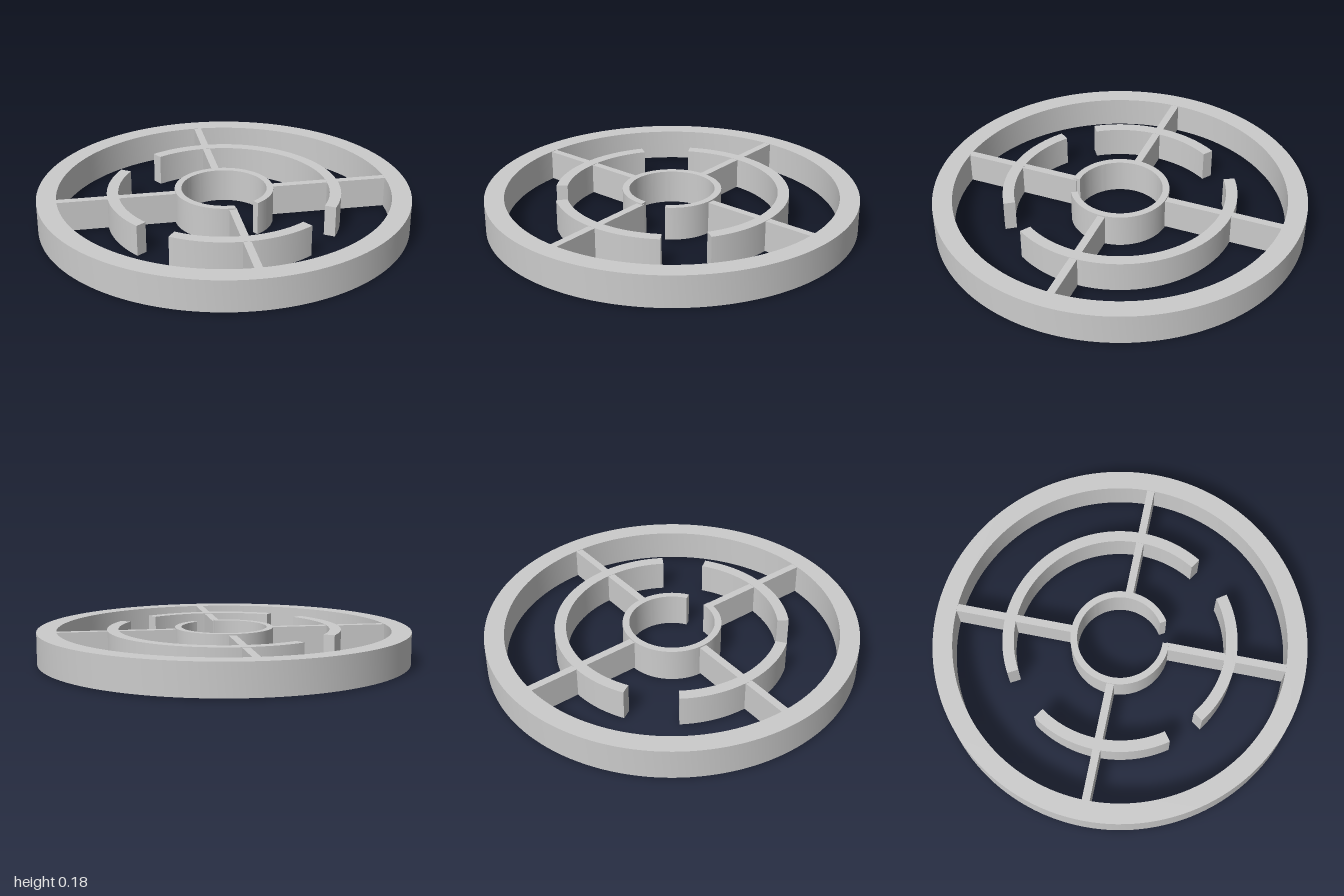
import * as THREE from 'three';
import { toCreasedNormals } from 'three/addons/utils/BufferGeometryUtils.js';

const material = new THREE.MeshStandardMaterial({ color: 0xcccccc });
const rad = THREE.MathUtils.degToRad;

// Flat outline extruded upward from y0 to y1
function slab(name, shape, y0, y1) {
  const flat = new THREE.ExtrudeGeometry(shape, { depth: y1 - y0, bevelEnabled: false, curveSegments: 72 });
  flat.rotateX(-Math.PI / 2);
  flat.translate(0, y0, 0);
  const mesh = new THREE.Mesh(toCreasedNormals(flat, rad(30)), material);
  mesh.name = name;
  return mesh;
}

// Band between two radii, from angle a to angle b in degrees
function arcShape(inner, outer, a, b) {
  const shape = new THREE.Shape();
  shape.absarc(0, 0, outer, rad(a), rad(b), false);
  shape.absarc(0, 0, inner, rad(b), rad(a), true);
  shape.closePath();
  return shape;
}

export function createModel() {
  const model = new THREE.Group();
  model.name = 'spokedRing';
  const bottom = 0.007, top = 0.176;

  // Closed outer rim
  const rim = new THREE.Shape().absarc(0, 0, 1, 0, Math.PI * 2, false);
  rim.holes.push(new THREE.Path().absarc(0, 0, 0.895, 0, Math.PI * 2, true));
  model.add(slab('outerRim', rim, bottom, top));

  // Middle ring, broken into three arcs
  const arcs = { backArc: [12.4, 164.8], frontRightArc: [190.8, 260.4], frontLeftArc: [278.9, 349.4] };
  for (const [name, [a, b]] of Object.entries(arcs)) {
    model.add(slab(name, arcShape(0.567, 0.628, a, b), bottom, top));
  }

  // Hub with one gap, slightly taller than the rest
  model.add(slab('hub', arcShape(0.229, 0.265, -13.5, 318.3), 0, 0.182));

  // Four diagonal spokes from hub to rim
  const start = 0.25, end = 0.905;
  for (let i = 0; i < 4; i++) {
    const geometry = new THREE.BoxGeometry(end - start, top - bottom - 0.003, 0.041);
    geometry.translate((start + end) / 2, (top + bottom) / 2, 0);
    const spoke = new THREE.Mesh(geometry, material);
    spoke.rotation.y = rad(45 + 90 * i);
    spoke.name = 'spoke';
    model.add(spoke);
  }
  return model;
}
